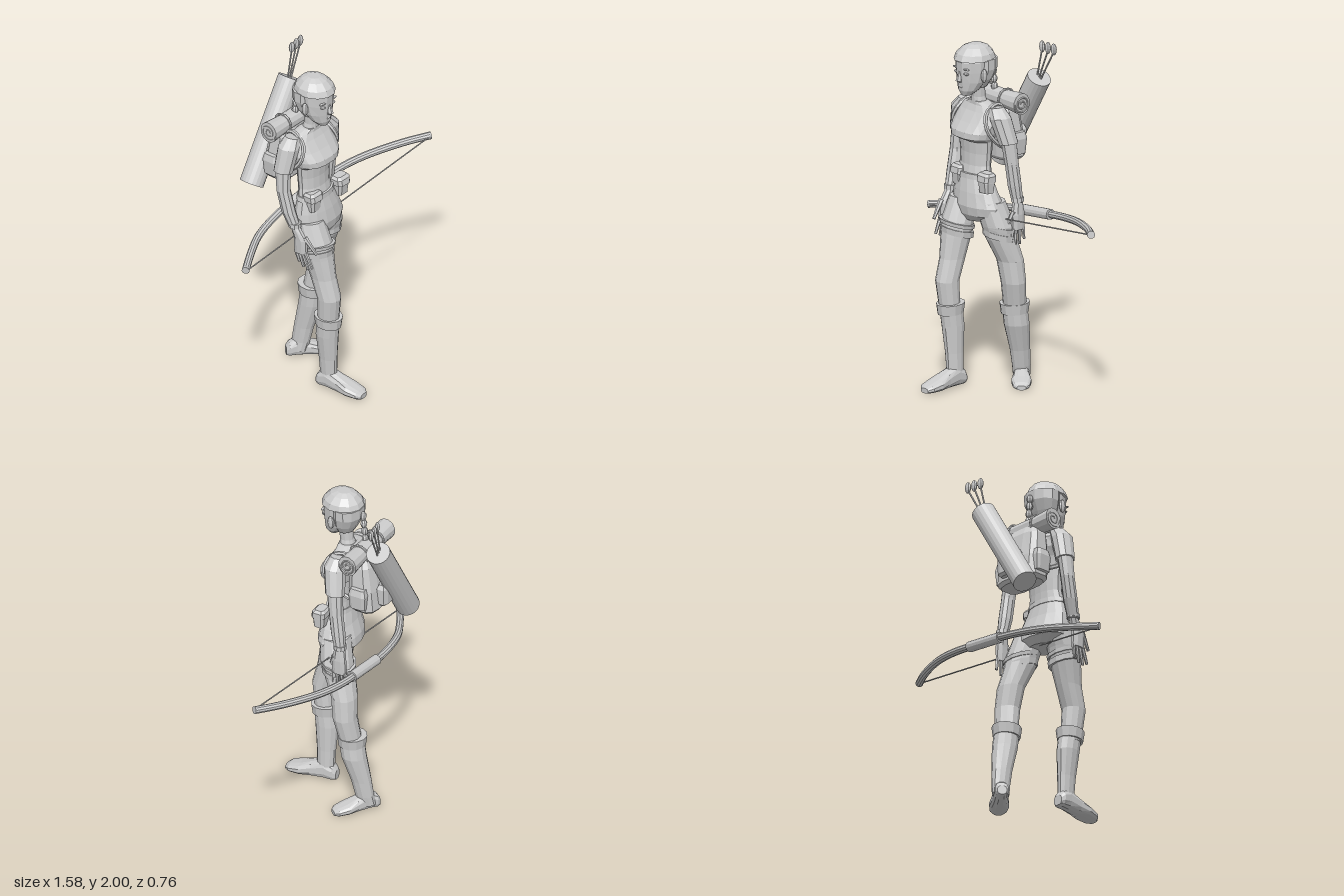
import * as THREE from 'three';

const grey = new THREE.MeshStandardMaterial({ color: 0xcccccc, flatShading: true });
grey.name = 'lightGrey';
const V = (x, y, z) => new THREE.Vector3(x, y, z);

// Closed skin through oval rings [x, y, z, rx, rz], listed from top to bottom
function loft(rings, { n = 12, e = 1, tx = 0, tz = 0 } = {}) {
  const pos = [], idx = [];
  const sq = v => Math.sign(v) * Math.abs(v) ** e;
  for (const [x, y, z, rx, rz] of rings) {
    for (let i = 0; i < n; i++) {
      const a = (i + 0.5) / n * Math.PI * 2;
      const dx = rx * sq(Math.sin(a)), dz = rz * sq(Math.cos(a));
      pos.push(x + dx, y + tx * dx + tz * dz, z + dz);
    }
  }
  for (let r = 0; r < rings.length - 1; r++) {
    for (let i = 0; i < n; i++) {
      const a = r * n + i, b = r * n + (i + 1) % n;
      idx.push(a, a + n, b + n, a, b + n, b);
    }
  }
  const last = (rings.length - 1) * n;
  for (let i = 1; i < n - 1; i++) {
    idx.push(0, i, i + 1, last, last + i + 1, last + i);
  }
  const g = new THREE.BufferGeometry();
  g.setAttribute('position', new THREE.Float32BufferAttribute(pos, 3));
  g.setIndex(idx);
  g.computeVertexNormals();
  return g;
}

export function createModel() {
  const model = new THREE.Group();
  const add = (name, geo, parent = model) => {
    const m = new THREE.Mesh(geo, grey);
    m.name = name;
    parent.add(m);
    return m;
  };
  const skin = (name, rings, opt) => add(name, loft(rings, opt));
  const rod = (name, a, b, r1, r2 = r1, n = 10) => {
    const m = add(name, new THREE.CylinderGeometry(r2, r1, a.distanceTo(b), n));
    m.position.copy(a).add(b).multiplyScalar(0.5);
    m.quaternion.setFromUnitVectors(V(0, 1, 0), b.clone().sub(a).normalize());
    return m;
  };
  const ball = (name, x, y, z, rx, ry, rz, n = 8) => {
    const m = add(name, new THREE.SphereGeometry(1, n, 6));
    m.position.set(x, y, z);
    m.scale.set(rx, ry, rz);
    return m;
  };
  const tube = (name, pts, r, seg = 16, n = 8) =>
    add(name, new THREE.TubeGeometry(new THREE.CatmullRomCurve3(pts), seg, r, n));
  const C = -0.265; // body centre line

  // Head, hair and neck
  skin('head', [[C, 1.97, 0.015, 0.07, 0.08], [C, 1.91, 0.015, 0.1, 0.12], [C, 1.85, 0.02, 0.096, 0.112],
    [C, 1.79, 0.035, 0.085, 0.09], [C, 1.74, 0.06, 0.06, 0.06], [C, 1.71, 0.075, 0.03, 0.032]]);
  skin('hairTop', [[C, 2.0, 0.01, 0.035, 0.04], [C, 1.985, 0.012, 0.068, 0.078], [C, 1.95, 0.015, 0.102, 0.112],
    [C, 1.915, 0.015, 0.112, 0.127]]);
  skin('hairBack', [[C, 1.92, -0.02, 0.114, 0.092], [C, 1.86, -0.02, 0.112, 0.09],
    [C, 1.8, -0.01, 0.092, 0.072], [C, 1.75, -0.005, 0.06, 0.05]]);
  skin('neck', [[C, 1.78, 0, 0.045, 0.045], [C, 1.69, -0.01, 0.04, 0.04], [C, 1.63, -0.02, 0.055, 0.05]]);
  skin('nose', [[C, 1.855, 0.12, 0.008, 0.012], [C, 1.8, 0.13, 0.016, 0.022], [C, 1.79, 0.12, 0.012, 0.01]], { n: 6 });
  skin('mouth', [[C, 1.77, 0.105, 0.022, 0.016], [C, 1.762, 0.105, 0.028, 0.02], [C, 1.75, 0.1, 0.02, 0.016]], { n: 8 });
  for (const s of [-1, 1]) {
    ball('eye', C + s * 0.042, 1.845, 0.112, 0.02, 0.009, 0.014);
    ball('brow', C + s * 0.045, 1.872, 0.115, 0.028, 0.006, 0.012);
    ball('ear', C + s * 0.107, 1.835, 0.035, 0.012, 0.04, 0.022);
  }
  for (let i = 0; i < 5; i++) ball('braidBead', C, 1.865 - i * 0.048, -0.115 - i * 0.004, 0.02, 0.028, 0.02);

  // Torso
  skin('shirt', [[C, 1.665, -0.015, 0.06, 0.045], [C, 1.645, -0.025, 0.12, 0.055], [C, 1.61, -0.025, 0.165, 0.072],
    [C, 1.55, -0.005, 0.165, 0.092], [C, 1.5, 0.025, 0.155, 0.1], [C, 1.465, 0.028, 0.145, 0.1],
    [C, 1.445, 0.012, 0.132, 0.08]], { n: 16, e: 0.85 });
  skin('midriff', [[C, 1.46, 0.008, 0.128, 0.072], [C, 1.37, 0.006, 0.118, 0.066], [C, 1.3, 0.01, 0.115, 0.064],
    [C, 1.22, 0.02, 0.13, 0.072]], { n: 16 });
  skin('shorts', [[C, 1.235, 0.02, 0.128, 0.074], [-0.25, 1.15, 0.02, 0.162, 0.092], [-0.238, 1.07, 0.012, 0.186, 0.112],
    [-0.236, 1.02, 0.005, 0.175, 0.11], [-0.24, 0.98, 0.01, 0.09, 0.08]], { n: 16 });
  skin('belt', [[C, 1.255, 0.02, 0.131, 0.078], [C, 1.225, 0.02, 0.137, 0.08]], { n: 16 });

  // Belt pouches with flaps
  for (const s of [-1, 1]) {
    const x = -0.218 + s * 0.12;
    skin('pouch', [[x, 1.275, 0.06, 0.042, 0.028], [x, 1.23, 0.065, 0.046, 0.038], [x, 1.17, 0.065, 0.04, 0.032]], { n: 8, e: 0.5 });
    skin('pouchFlap', [[x, 1.285, 0.06, 0.04, 0.028], [x, 1.27, 0.063, 0.054, 0.042], [x, 1.235, 0.066, 0.052, 0.045]], { n: 8, e: 0.5 });
  }

  // Arms: sleeve, forearm, palm, fingers
  const arms = [
    { sh: [-0.4, -0.03], up: [-0.438, -0.03], sl: [-0.475, -0.04], el: [-0.484, -0.03], fo: [-0.476, 0], wr: [-0.462, 0.035], ha: [-0.457, 0.075], drift: 0.03, side: -1 },
    { sh: [-0.13, -0.03], up: [-0.09, -0.03], sl: [-0.047, -0.055], el: [-0.036, -0.068], fo: [-0.031, -0.085], wr: [-0.025, -0.1], ha: [-0.018, -0.098], drift: -0.003, side: 1 },
  ];
  for (const { sh, up, sl, el, fo, wr, ha, drift, side } of arms) {
    const at = (p, y, rx, rz) => [p[0], y, p[1], rx, rz];
    skin('sleeve', [at(sh, 1.645, 0.045, 0.045), at(up, 1.59, 0.06, 0.064), at(sl, 1.445, 0.053, 0.058)], { n: 10, tx: side * 0.15 });
    skin('arm', [at(sl, 1.46, 0.043, 0.048), at(el, 1.33, 0.04, 0.042), at(fo, 1.2, 0.041, 0.042), at(wr, 1.1, 0.033, 0.034)], { n: 10 });
    skin('armCuff', [at(wr, 1.13, 0.037, 0.038), at(wr, 1.105, 0.038, 0.039)], { n: 10 });
    skin('palm', [at(wr, 1.11, 0.026, 0.03), at(ha, 1.03, 0.024, 0.045), at(ha, 0.94, 0.018, 0.046)], { n: 8 });
    for (let i = 0; i < 4; i++) {
      const z = ha[1] + (i - 1.5) * 0.024, zt = ha[1] + drift + (i - 1.5) * 0.032;
      const len = [0.075, 0.1, 0.105, 0.09][i];
      rod('finger', V(ha[0], 0.95, z), V(ha[0] - side * 0.008, 0.95 - len, zt), 0.012, 0.008, 6);
    }
    rod('thumb', V(ha[0], 1.05, ha[1] + 0.03), V(ha[0] - side * 0.02, 0.955, ha[1] + drift + 0.07), 0.016, 0.009, 6);
  }

  // Legs: thigh to knee, garters, boot with cuff, foot
  const foot = [[0, 0.24, -0.018, 0.03, 0.015], [0, 0.215, -0.026, 0.055, 0.024], [0, 0.15, -0.036, 0.065, 0.034],
    [0, 0.08, -0.05, 0.052, 0.048], [0, 0, -0.065, 0.046, 0.063], [0, -0.05, -0.05, 0.044, 0.048], [0, -0.07, -0.038, 0.03, 0.03]];
  const legs = [
    { leg: [[-0.335, 1.1, 0.03, 0.085, 0.09], [-0.335, 0.96, 0.085, 0.095, 0.094], [-0.33, 0.88, 0.1, 0.086, 0.09],
        [-0.325, 0.75, 0.13, 0.07, 0.077], [-0.322, 0.62, 0.17, 0.067, 0.07], [-0.312, 0.42, 0.155, 0.058, 0.06]],
      boot: [[-0.308, 0.47, 0.155, 0.063, 0.07], [-0.305, 0.36, 0.142, 0.06, 0.07], [-0.295, 0.2, 0.14, 0.046, 0.058],
        [-0.29, 0.1, 0.14, 0.042, 0.054], [-0.29, 0.04, 0.14, 0.04, 0.055]],
      cuff: [-0.31, 0.155, 0.078, 0.086], band: [-0.332, 0.093], bx: -0.1, at: [-0.29, 0.14], yaw: 0.1, scale: 1 },
    { leg: [[-0.15, 1.1, 0, 0.09, 0.09], [-0.115, 0.96, -0.03, 0.1, 0.094], [-0.11, 0.88, -0.05, 0.092, 0.09],
        [-0.085, 0.75, -0.095, 0.083, 0.075], [-0.07, 0.62, -0.107, 0.076, 0.07], [-0.095, 0.42, -0.14, 0.065, 0.062]],
      boot: [[-0.095, 0.47, -0.135, 0.07, 0.074], [-0.095, 0.36, -0.15, 0.072, 0.075], [-0.112, 0.2, -0.188, 0.054, 0.062],
        [-0.12, 0.1, -0.205, 0.047, 0.058], [-0.13, 0.04, -0.215, 0.044, 0.055]],
      cuff: [-0.098, -0.138, 0.085, 0.088], band: [-0.112, -0.04], bx: -0.1, at: [-0.14, -0.22], yaw: 0.9, scale: 0.9 },
  ];
  for (const { leg, boot, cuff, band, bx, at, yaw, scale } of legs) {
    skin('leg', leg);
    skin('boot', boot);
    skin('bootCuff', [[cuff[0], 0.49, cuff[1], cuff[2], cuff[3]], [cuff[0], 0.43, cuff[1], cuff[2] - 0.008, cuff[3] - 0.008]],
      { tz: -0.06 });
    for (const [y, h] of [[0.955, 0.022], [0.915, 0.035]]) {
      const k = (0.955 - y) * 0.15;
      skin('thighBand', [[band[0], y, band[1], 0.105 - k, 0.103 - k], [band[0], y - h, band[1], 0.102 - k, 0.1 - k]],
        { tx: bx, tz: 0.22 });
    }
    const f = add('foot', loft(foot, { n: 12, e: 0.8 }).rotateX(Math.PI / 2));
    f.position.set(at[0], 0.002, at[1]);
    f.rotation.y = yaw;
    f.scale.setScalar(scale);
  }

  // Backpack with pockets and shoulder straps
  skin('backpack', [[C, 1.65, -0.145, 0.11, 0.05], [C, 1.6, -0.155, 0.14, 0.07], [C, 1.45, -0.165, 0.155, 0.09],
    [C, 1.33, -0.175, 0.155, 0.09], [C, 1.31, -0.175, 0.135, 0.075]], { n: 12, e: 0.6 });
  skin('backPocket', [[C, 1.485, -0.27, 0.07, 0.025], [C, 1.46, -0.27, 0.085, 0.035], [C, 1.36, -0.27, 0.08, 0.035],
    [C, 1.345, -0.265, 0.065, 0.025]], { n: 8, e: 0.5 });
  for (const s of [-1, 1]) {
    skin('sidePocket', [[C + s * 0.15, 1.48, -0.17, 0.025, 0.045], [C + s * 0.155, 1.44, -0.17, 0.03, 0.055],
      [C + s * 0.15, 1.35, -0.17, 0.025, 0.05]], { n: 8, e: 0.5 });
    tube('shoulderStrap', [V(C + s * 0.1, 1.6, -0.14), V(C + s * 0.11, 1.655, -0.05), V(C + s * 0.125, 1.61, 0.035),
      V(C + s * 0.155, 1.53, 0.05), V(C + s * 0.16, 1.44, -0.02), V(C + s * 0.14, 1.38, -0.13)], 0.013, 20, 6);
    const strap = add('rollStrap', new THREE.TorusGeometry(0.058, 0.007, 6, 14));
    strap.position.set(C + s * 0.09, 1.665, -0.14);
    strap.rotation.y = Math.PI / 2;
  }

  // Rolled blanket, flared at its ends, with a coil at each end
  const roll = add('bedroll', loft([[0, 0.225, 0, 0.064, 0.058], [0, 0.1, 0, 0.053, 0.052], [0, -0.1, 0, 0.053, 0.052],
    [0, -0.225, 0, 0.064, 0.058]]).rotateZ(Math.PI / 2));
  roll.position.set(-0.26, 1.665, -0.14);
  for (const s of [-1, 1]) {
    const pts = [];
    for (let i = 0; i <= 14; i++) {
      const a = i * 0.9, r = 0.01 + i * 0.003;
      pts.push(V(-0.26 + s * 0.224, 1.665 + r * Math.sin(a), -0.14 + r * Math.cos(a)));
    }
    tube('rollCoil', pts, 0.005, 36, 5);
  }

  // Quiver and arrows
  rod('quiver', V(-0.43, 1.235, -0.31), V(-0.09, 1.78, -0.31), 0.07, 0.07, 20);
  for (let i = 0; i < 3; i++) {
    const x = -0.07 + i * 0.045, z = -0.315 - i * 0.006;
    rod('arrowShaft', V(-0.12 + i * 0.012, 1.74, -0.31), V(x, 1.95, z), 0.005, 0.005, 6);
    ball('arrowFletching', x, 1.965, z, 0.021, 0.035, 0.014);
  }

  // Bow, grip and string
  const bowAt = (x, z) => V(x, 1.015 + x * 0.122, z);
  const curve = [[-0.78, -0.062], [-0.64, -0.14], [-0.5, -0.205], [-0.35, -0.24], [-0.18, -0.255], [0, -0.248],
    [0.15, -0.243], [0.28, -0.225], [0.4, -0.192], [0.53, -0.137], [0.66, -0.068], [0.772, 0.005]].map(p => bowAt(...p));
  tube('bow', curve, 0.022, 36, 10);
  rod('bowTip', curve[1].clone().lerp(curve[0], 0.95), curve[0], 0.023);
  rod('bowTip', curve[10].clone().lerp(curve[11], 0.95), curve[11], 0.023);
  rod('bowGrip', bowAt(-0.17, -0.254), bowAt(0.095, -0.244), 0.031, 0.031, 12);
  rod('bowString', bowAt(-0.772, -0.055), bowAt(0.765, 0.008), 0.004, 0.004, 6);
  return model;
}
